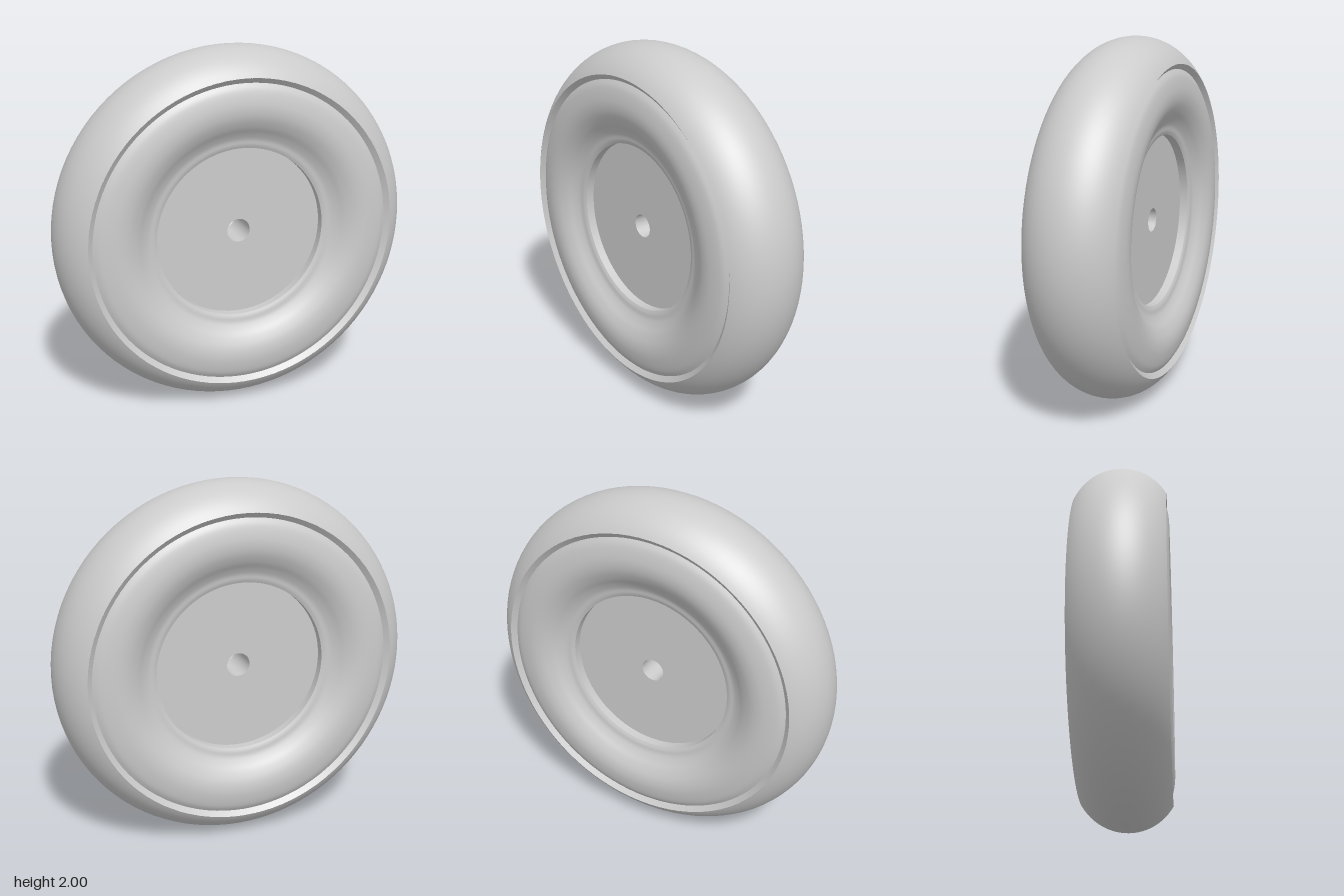
import * as THREE from 'three';

const SEGMENTS = 96;
const material = new THREE.MeshStandardMaterial({ color: 0xcccccc });

// Revolves a list of [radius, z] points around the z axle
function revolve(name, points) {
  const profile = points.map(([r, z]) => new THREE.Vector2(r, z));
  const geometry = new THREE.LatheGeometry(profile, SEGMENTS);
  geometry.rotateX(Math.PI / 2);
  const mesh = new THREE.Mesh(geometry, material);
  mesh.name = name;
  return mesh;
}

// One face of the wheel, from the tread edge in to the axle hole
function createSide(name) {
  const side = new THREE.Group();
  side.name = name;

  // Narrow bevelled step between tread and sidewall
  side.add(revolve('grooveBevel', [[0.86, 0.245], [0.832, 0.222]]));

  // Bulging sidewall that dips in towards the hub
  const curve = new THREE.SplineCurve([
    [0.832, 0.222], [0.8, 0.24], [0.75, 0.252], [0.7, 0.256], [0.65, 0.248],
    [0.6, 0.226], [0.56, 0.2], [0.525, 0.182], [0.495, 0.176], [0.475, 0.168],
  ].map(([r, z]) => new THREE.Vector2(r, z)));
  side.add(revolve('sidewall', curve.getPoints(40).map((p) => [p.x, p.y])));

  // Recess wall and flat hub disc around the axle hole
  side.add(revolve('hubWall', [[0.475, 0.168], [0.475, 0.12]]));
  side.add(revolve('hubDisc', [[0.475, 0.12], [0.065, 0.12]]));
  return side;
}

export function createModel() {
  const wheel = new THREE.Group();
  wheel.name = 'wheel';

  // Rounded tread: circular arc from one shoulder to the other
  const centre = 0.716;
  const radius = 1 - centre;
  const limit = Math.asin(0.245 / radius);
  const tread = [];
  for (let i = 0; i <= 32; i++) {
    const a = -limit + (2 * limit * i) / 32;
    tread.push([centre + radius * Math.cos(a), radius * Math.sin(a)]);
  }
  wheel.add(revolve('tread', tread));

  // Matching front and back faces
  const front = createSide('frontSide');
  const back = createSide('backSide');
  back.rotation.y = Math.PI;
  wheel.add(front, back);

  // Bore through the hub
  wheel.add(revolve('axleHole', [[0.065, 0.12], [0.065, -0.12]]));

  wheel.position.y = 1;
  const model = new THREE.Group();
  model.name = 'wheelModel';
  model.add(wheel);
  return model;
}
